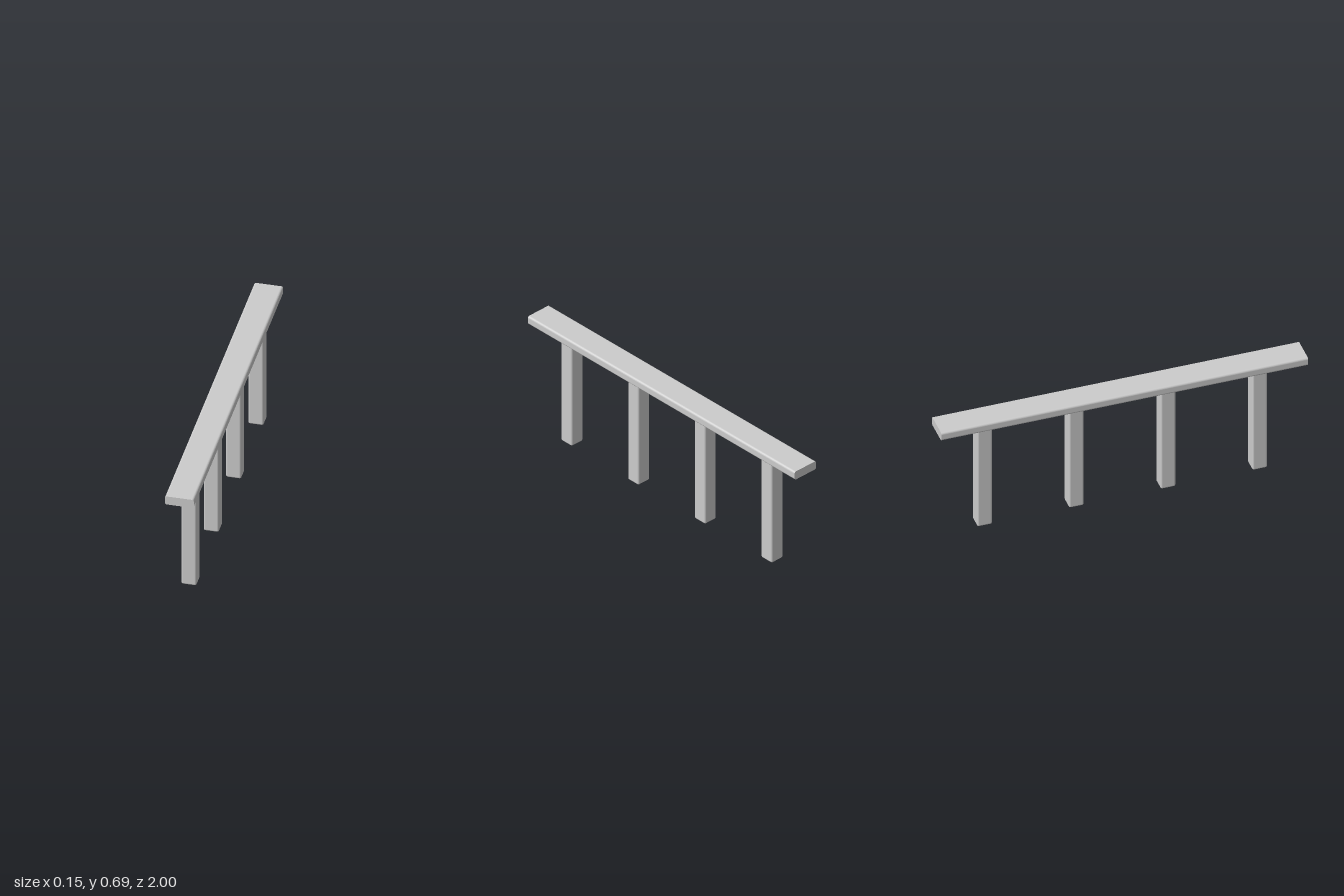
import * as THREE from 'three';
import { RoundedBoxGeometry } from 'three/addons/geometries/RoundedBoxGeometry.js';

const LENGTH = 2, TOP = 0.685, UNDERSIDE = 0.635;
const HALF_WIDTH = 0.077, EDGE = 0.012;
const LEG = 0.081, LEG_TOP = 0.65;

// Rectangle with rounded corners, standing on the underside height
function plankProfile() {
  const s = new THREE.Shape();
  const w = HALF_WIDTH, r = EDGE, b = UNDERSIDE, t = TOP;
  s.moveTo(-w + r, b);
  s.lineTo(w - r, b);
  s.absarc(w - r, b + r, r, -Math.PI / 2, 0);
  s.absarc(w - r, t - r, r, 0, Math.PI / 2);
  s.absarc(-w + r, t - r, r, Math.PI / 2, Math.PI);
  s.absarc(-w + r, b + r, r, Math.PI, Math.PI * 1.5);
  return s;
}

export function createModel() {
  const model = new THREE.Group();
  model.name = 'bench';
  const material = new THREE.MeshStandardMaterial({ color: 0xcccccc });

  // Long seat plank with rounded long edges and flat ends
  const plankGeometry = new THREE.ExtrudeGeometry(plankProfile(), {
    depth: LENGTH, bevelEnabled: false, curveSegments: 6,
  });
  plankGeometry.translate(0, 0, -LENGTH / 2);
  const plank = new THREE.Mesh(plankGeometry, material);
  plank.name = 'seatPlank';
  model.add(plank);

  // Four evenly spaced square posts, let slightly into the plank
  const legGeometry = new RoundedBoxGeometry(LEG, LEG_TOP, LEG, 4, 0.01);
  [0.75, 0.25, -0.25, -0.75].forEach((z, i) => {
    const leg = new THREE.Mesh(legGeometry, material);
    leg.name = `leg${i + 1}`;
    leg.position.set(0, LEG_TOP / 2, z);
    model.add(leg);
  });

  return model;
}
